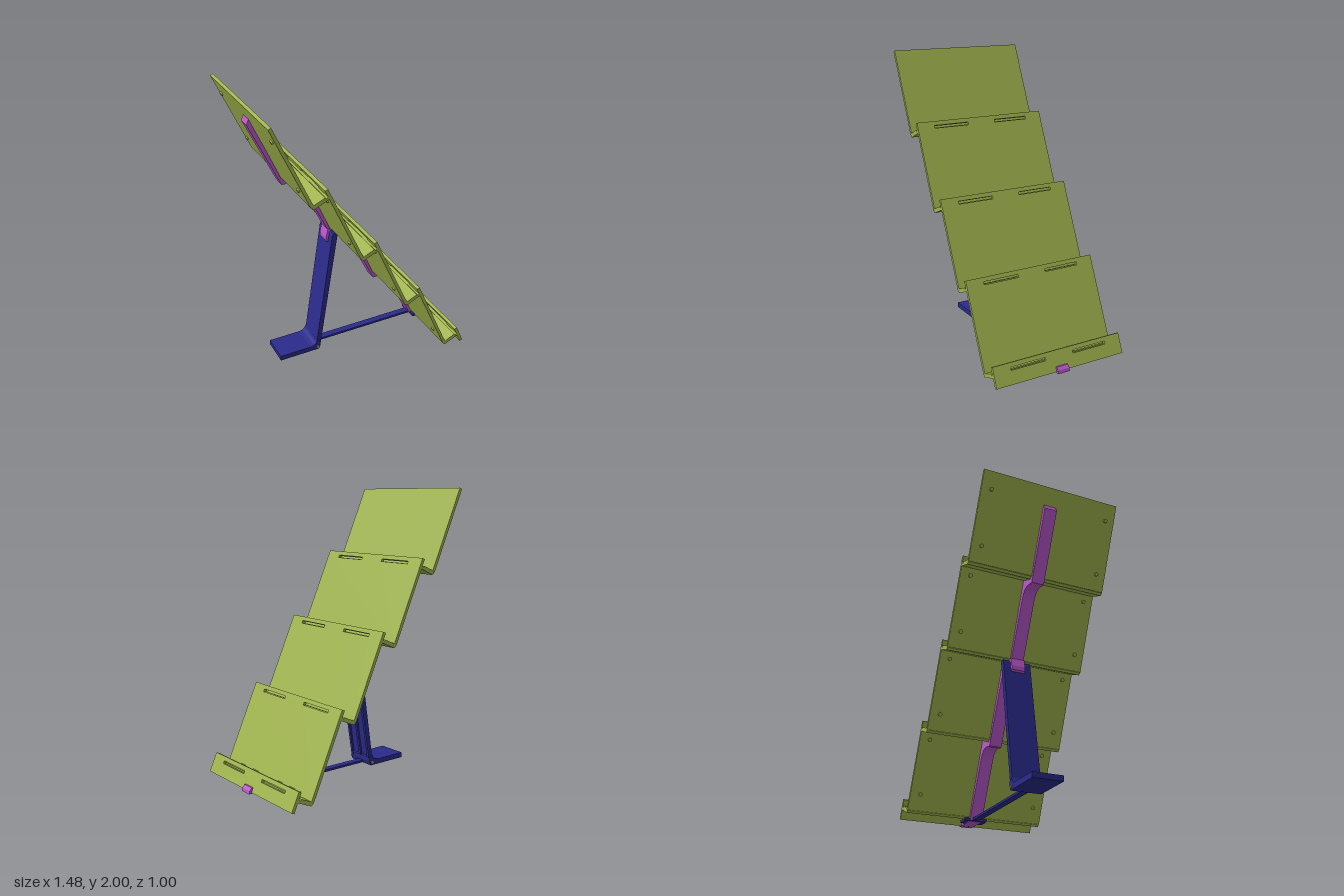
import * as THREE from 'three';

export function createModel() {
  const model = new THREE.Group();
  model.name = 'tieredDisplayStand';
  const mat = (name, color, side = THREE.FrontSide) => {
    const m = new THREE.MeshStandardMaterial({ color, side });
    m.name = name;
    return m;
  };
  const olive = mat('oliveGreen', 0xa0b44e);
  const orchid = mat('orchid', 0xba58cc);
  const navy = mat('navyBlue', 0x2b2b8c);

  const add = (name, geo, material, parent = model) => {
    const mesh = new THREE.Mesh(geo, material);
    mesh.name = name;
    parent.add(mesh);
    return mesh;
  };
  const shapeOf = pts => new THREE.Shape(pts.map(p => new THREE.Vector2(p[0], p[1])));
  // Side profile (x, y) extruded across z
  const profile = (name, pts, width, material, z = 0) => {
    const geo = new THREE.ExtrudeGeometry(shapeOf(pts), { depth: width, bevelEnabled: false });
    geo.translate(0, 0, z - width / 2);
    return add(name, geo, material);
  };
  const rect = (x0, y0, x1, y1) => [[x0, y0], [x1, y0], [x1, y1], [x0, y1]];

  // Sloped panel frame: s runs down the slope, n points out of the front face
  const s = new THREE.Vector3(0.408, -0.913, 0).normalize();
  const n = new THREE.Vector3(-s.y, s.x, 0);
  const T = 0.022;
  const lip = i => [-0.73 + 0.346 * i, 2 - 0.466 * i];
  const from = (i, pts) => pts.map(([x, y]) => [lip(i)[0] + x, lip(i)[1] + y]);

  // Five sloping panels, each below the first with a pair of slots
  for (let i = 0; i < 5; i++) {
    const group = new THREE.Group();
    group.name = 'panel' + (i + 1);
    const len = i < 4 ? 0.615 : 0.14;
    const shape = shapeOf(rect(-0.5, 0, 0.5, len));
    if (i > 0) {
      for (const side of [-1, 1]) {
        shape.holes.push(new THREE.Path(
          rect(side * 0.24 - 0.133, 0.03, side * 0.24 + 0.133, 0.05)
            .map(p => new THREE.Vector2(p[0], p[1]))));
      }
    }
    const sheet = new THREE.ExtrudeGeometry(shape, { depth: T, bevelEnabled: false });
    sheet.translate(0, 0, -T);
    add('panelSheet', sheet, olive, group);

    if (i < 4) {
      for (const z of [-0.24, 0.24]) {
        // Low retaining tabs at the foot of the panel
        const tab = add('retainingTab', new THREE.BoxGeometry(0.266, 0.022, 0.006), olive, group);
        tab.position.set(z, 0.59, 0.002);
      }
      // Small fixing bosses on the back
      for (const z of [-0.43, 0.43]) {
        for (const d of [0.12, 0.5]) {
          const boss = add('fixingBoss', new THREE.CylinderGeometry(0.014, 0.014, 0.012, 12), olive, group);
          boss.rotation.x = Math.PI / 2;
          boss.position.set(z, d, -T - 0.005);
        }
      }
    }
    group.applyMatrix4(new THREE.Matrix4()
      .makeBasis(new THREE.Vector3(0, 0, 1), s, n)
      .setPosition(lip(i)[0], lip(i)[1], 0));
    model.add(group);
  }

  // Ledges joining each panel to the one below, with a shallow groove
  for (let i = 0; i < 4; i++) {
    profile('ledge', from(i, [
      [0.234, -0.572], [0.25, -0.585], [0.362, -0.535], [0.35, -0.512],
      [0.337, -0.53], [0.327, -0.52], [0.255, -0.552],
    ]), 1, olive);
  }

  // Stepped spine under the panels
  const upper = [[-0.697, 1.88]];
  const lower = [[-0.715, 1.84]];
  for (let i = 0; i < 4; i++) {
    upper.push(...from(i, [[0.228, -0.572], [0.25, -0.585], [0.358, -0.54]]));
    if (i < 3) {
      lower.push(...from(i, [[0.23, -0.62], [0.255, -0.62], [0.275, -0.612], [0.305, -0.611],
        [0.335, -0.622], [0.358, -0.642], [0.376, -0.668]]));
    }
  }
  upper.push([0.69, 0.0]);
  lower.push([0.525, 0.012], [0.535, 0]);
  profile('spine', [...lower, ...upper.reverse()], 0.09, orchid);

  // Hinge bracket, catch and front nose
  profile('hingeBracket', [[-0.175, 0.96], [-0.19, 0.9], [-0.19, 0.87], [-0.17, 0.855],
    [-0.14, 0.855], [-0.118, 0.875], [-0.1, 0.925], [-0.12, 0.96]], 0.1, orchid);
  profile('catch', [[-0.07, 0.95], [-0.05, 0.92], [-0.035, 0.908], [-0.015, 0.912], [-0.01, 0.95]], 0.09, orchid);
  profile('frontNose', [[0.68, 0], [0.73, 0], [0.725, 0.022], [0.708, 0.04], [0.68, 0.04]], 0.09, orchid);

  // Rear leg: back plate with forward ribs
  profile('legPlate', [[-0.305, 0.03], [-0.285, 0.03], [-0.142, 0.945], [-0.158, 0.945], [-0.166, 0.93]],
    0.2, navy);
  for (const z of [-0.09, 0, 0.09]) {
    profile('legRib', [[-0.288, 0.03], [-0.272, 0.03], [-0.126, 0.93], [-0.132, 0.945], [-0.145, 0.945]],
      0.02, navy, z);
  }

  // Foot with a curved heel into the leg
  profile('foot', [[-0.59, 0], [-0.285, 0], [-0.272, 0.03], [-0.272, 0.06], [-0.298, 0.08],
    [-0.307, 0.06], [-0.325, 0.043], [-0.35, 0.037], [-0.59, 0.037]], 0.21, navy);

  // Tie bar along the ground with a square ring at its front end
  profile('tieBar', rect(-0.4, 0.006, 0.545, 0.022), 0.05, navy);
  const ring = shapeOf(rect(0.53, -0.08, 0.62, 0.08));
  ring.holes.push(new THREE.Path(rect(0.548, -0.05, 0.602, 0.05).map(p => new THREE.Vector2(p[0], p[1]))));
  const ringGeo = new THREE.ExtrudeGeometry(ring, { depth: 0.02, bevelEnabled: false });
  ringGeo.rotateX(-Math.PI / 2);
  add('tieBarRing', ringGeo, navy).position.y = 0.002;

  // Pivot pin at the base of the leg
  const pin = add('pivotPin', new THREE.CylinderGeometry(0.01, 0.01, 0.22, 12), olive);
  pin.rotation.x = Math.PI / 2;
  pin.position.set(-0.295, 0.022, 0);

  return model;
}
